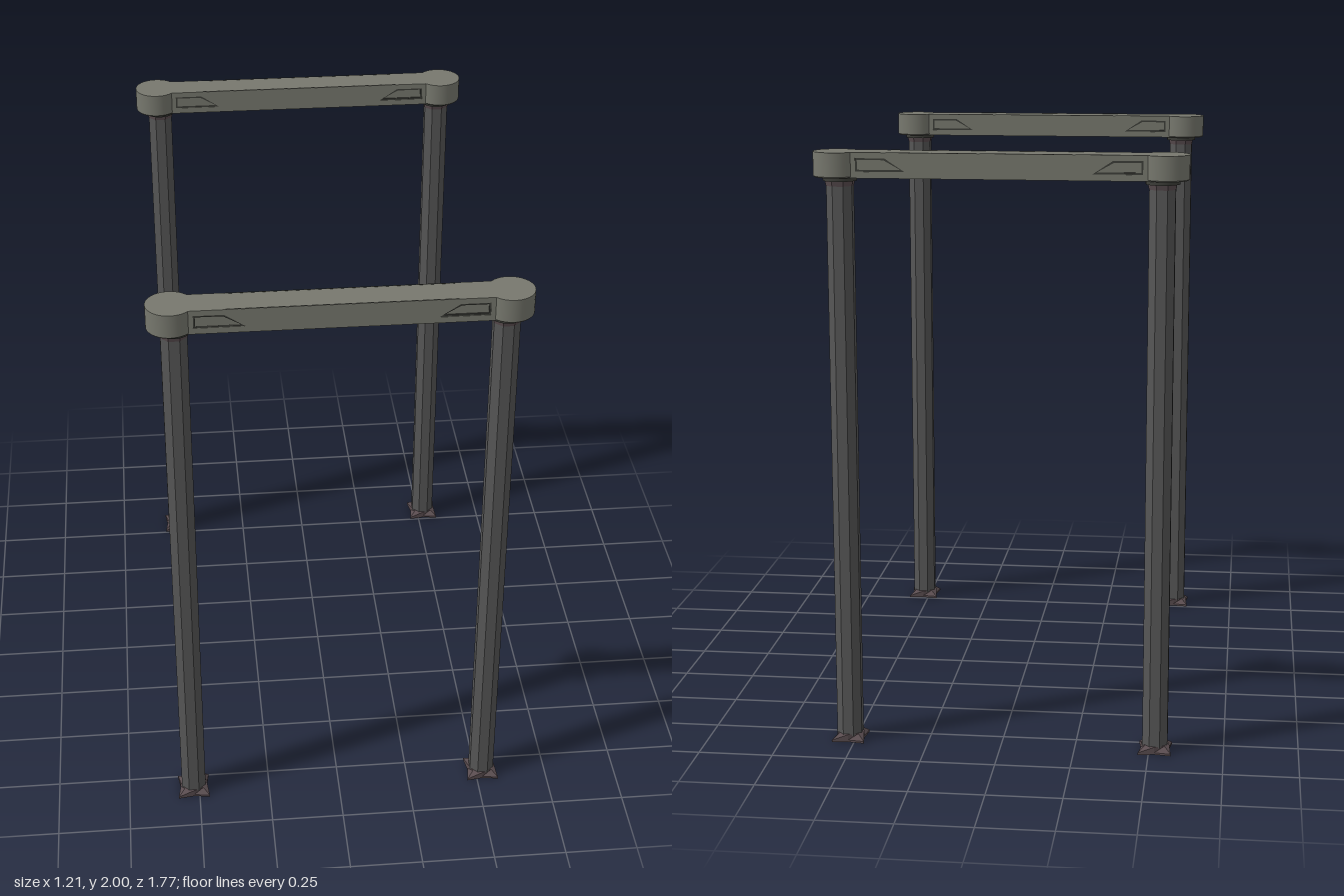
import * as THREE from 'three';

const material = (name, color, extra = {}) => {
  const m = new THREE.MeshStandardMaterial({ color, ...extra });
  m.name = name;
  return m;
};

export function createModel() {
  const olive = material('olive grey paint', 0x77786e);
  const steel = material('dark steel', 0x565656, { flatShading: true });
  const trim = material('dark trim', 0x3c3d38);
  const foot = material('dull mauve iron', 0x5a4d50, { flatShading: true });

  const POST_X = 0.52, CAP_X = 0.53, BEAM_Z = 0.808;
  const BOTTOM = 1.918, TOP = 2, HALF = 0.052, SKIN = 0.006;

  const add = (parent, name, geometry, mat, x = 0, y = 0, z = 0) => {
    const mesh = new THREE.Mesh(geometry, mat);
    mesh.name = name;
    mesh.position.set(x, y, z);
    parent.add(mesh);
    return mesh;
  };

  // Trapezoid pocket near a beam end, shrunk inward by d
  const trapezoid = (side, d = 0) => [
    [0.46 - d, 1.982 - d], [0.365 + d * 0.6, 1.982 - d],
    [0.3 + d * 2.2, 1.939 + d], [0.46 - d, 1.939 + d],
  ].map(([x, y]) => new THREE.Vector2(x * side, y));

  // Octagonal post
  const postGeo = new THREE.CylinderGeometry(0.0455, 0.0455, 1.88, 8);
  postGeo.rotateY(Math.PI / 8);

  // Foot flaring from an octagon to four pointed corners
  const footGeo = new THREE.CylinderGeometry(0.047, 0.047, 0.026, 8, 2);
  const p = footGeo.attributes.position;
  for (let i = 0; i < p.count; i++) {
    const x = p.getX(i), y = p.getY(i), z = p.getZ(i);
    const diagonal = Math.abs(x) > 0.01 && Math.abs(z) > 0.01;
    const low = y < 0.005;
    const k = diagonal && low ? 1.66 : 1;
    p.setXYZ(i, x * k, Math.abs(y) < 0.005 ? -0.006 : y, z * k);
  }
  footGeo.computeVertexNormals();

  const collarGeo = new THREE.CylinderGeometry(0.055, 0.055, 0.013, 24);
  const neckGeo = new THREE.CylinderGeometry(0.05, 0.046, 0.018, 8);
  neckGeo.rotateY(Math.PI / 8);
  const capGeo = new THREE.CylinderGeometry(0.076, 0.076, TOP - BOTTOM - 0.004, 40);
  const rimGeo = new THREE.CylinderGeometry(0.076, 0.072, 0.004, 40);

  // Beam side skin with two pockets cut through
  const skinShape = new THREE.Shape([
    new THREE.Vector2(-CAP_X, BOTTOM), new THREE.Vector2(CAP_X, BOTTOM),
    new THREE.Vector2(CAP_X, TOP), new THREE.Vector2(-CAP_X, TOP),
  ]);
  for (const s of [-1, 1]) skinShape.holes.push(new THREE.Path(trapezoid(s)));
  const skinGeo = new THREE.ExtrudeGeometry(skinShape, { depth: SKIN, bevelEnabled: false });

  // Dark border lining each pocket
  const frameGeos = [-1, 1].map((s) => {
    const ring = new THREE.Shape(trapezoid(s));
    ring.holes.push(new THREE.Path(trapezoid(s, 0.006)));
    return new THREE.ExtrudeGeometry(ring, { depth: 0.004, bevelEnabled: false });
  });

  const model = new THREE.Group();
  model.name = 'pairOfBarFrames';

  for (const end of [1, -1]) {
    const frame = new THREE.Group();
    frame.name = end > 0 ? 'frontFrame' : 'backFrame';
    frame.position.z = end * BEAM_Z;
    model.add(frame);

    // Crossbeam: core plus a skin on either side
    const core = new THREE.BoxGeometry(CAP_X * 2, TOP - BOTTOM, (HALF - SKIN) * 2);
    add(frame, 'beamCore', core, olive, 0, (TOP + BOTTOM) / 2, 0);
    for (const side of [1, -1]) {
      const face = new THREE.Group();
      face.name = 'beamSide';
      face.rotation.y = side > 0 ? 0 : Math.PI;
      frame.add(face);
      add(face, 'beamSkin', skinGeo, olive, 0, 0, HALF - SKIN);
      frameGeos.forEach((g) => add(face, 'pocketBorder', g, trim, 0, 0, HALF - SKIN));
      // Thin dark seam along the top edge
      add(face, 'topSeam', new THREE.BoxGeometry(0.72, 0.003, 0.004), trim, 0, TOP - 0.001, HALF - 0.003);
    }

    // Posts with feet, collars and round end caps
    for (const s of [1, -1]) {
      const leg = new THREE.Group();
      leg.name = s > 0 ? 'leftPost' : 'rightPost';
      leg.position.x = s * POST_X;
      frame.add(leg);
      add(leg, 'postShaft', postGeo, steel, 0, 0.96, 0);
      add(leg, 'postFoot', footGeo, foot, 0, 0.013, 0);
      add(leg, 'postNeck', neckGeo, foot, 0, 1.898, 0);
      add(leg, 'postCollar', collarGeo, trim, 0, 1.912, 0);
      add(frame, 'endCap', capGeo, olive, s * CAP_X, (TOP + BOTTOM + 0.004) / 2, 0);
      add(frame, 'endCapRim', rimGeo, olive, s * CAP_X, BOTTOM + 0.002, 0);
    }
  }
  return model;
}
